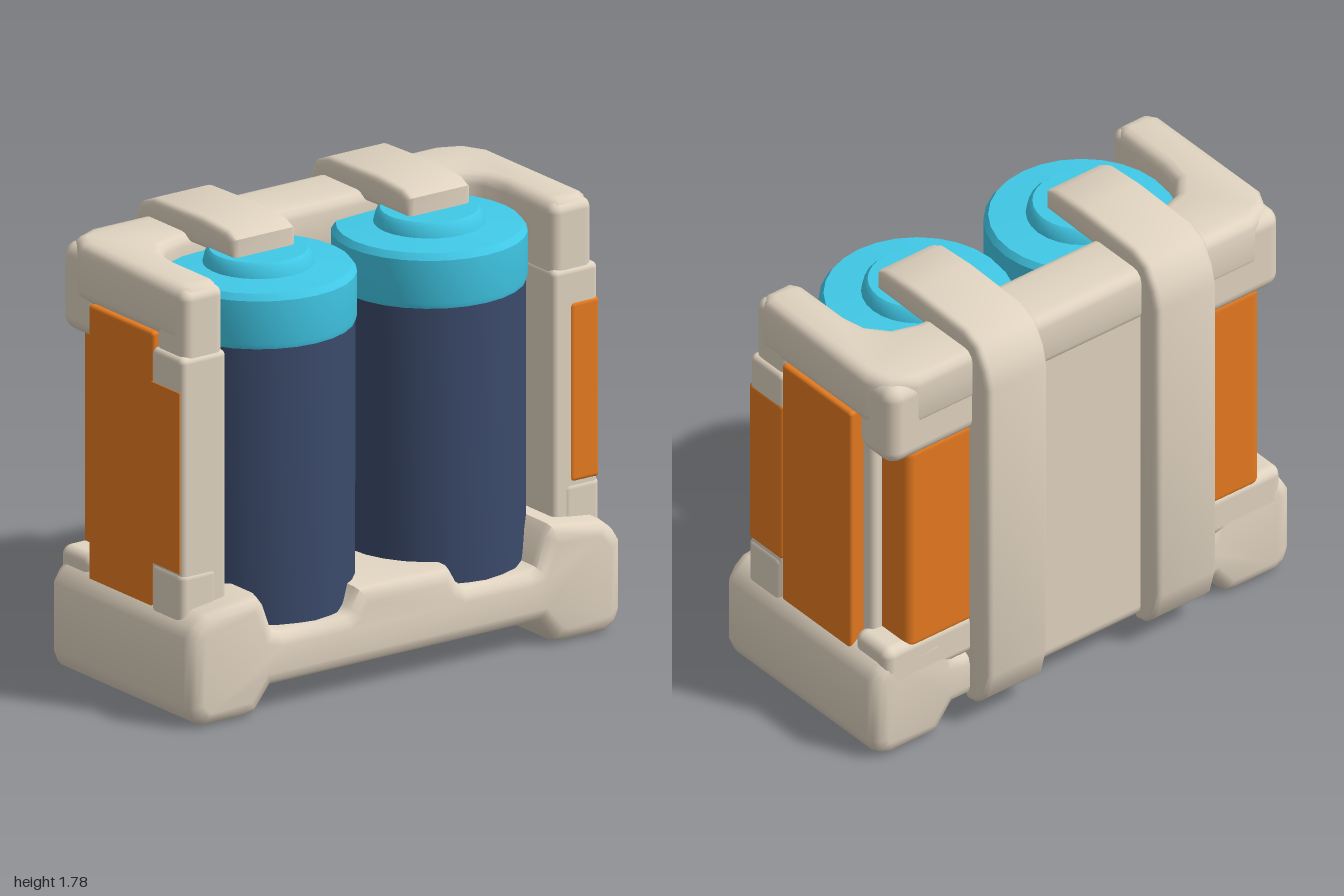
import * as THREE from 'three';
import { toCreasedNormals } from 'three/addons/utils/BufferGeometryUtils.js';
import { RoundedBoxGeometry } from 'three/addons/geometries/RoundedBoxGeometry.js';

const material = (name, color) => {
  const m = new THREE.MeshStandardMaterial({ color });
  m.name = name;
  return m;
};

export function createModel() {
  const model = new THREE.Group();
  model.name = 'twinTankPack';
  const beige = material('beige', 0xe0d3c0);
  const orange = material('orange', 0xe57a20);
  const cyan = material('cyan', 0x42cdec);
  const navy = material('navy', 0x3b4a6b);

  const add = (name, geometry, mat) => {
    const mesh = new THREE.Mesh(geometry, mat);
    mesh.name = name;
    model.add(mesh);
    return mesh;
  };

  // Rounded block given by its limits on each axis
  const block = (name, mat, x0, x1, y0, y1, z0, z1, r = 0.03) => {
    const mesh = add(name, new RoundedBoxGeometry(Math.abs(x1 - x0), y1 - y0, z1 - z0, 3, r), mat);
    mesh.position.set((x0 + x1) / 2, (y0 + y1) / 2, (z0 + z1) / 2);
    return mesh;
  };

  // Bevelled extrusion of an outline, centred on its depth
  const slab = (points, depth, bevel) => {
    const shape = new THREE.Shape(points.map(([x, y]) => new THREE.Vector2(x, y)));
    const g = new THREE.ExtrudeGeometry(shape, {
      depth: depth - 2 * bevel, bevelThickness: bevel, bevelSize: bevel,
      bevelOffset: -bevel, bevelSegments: 3,
    });
    g.translate(0, 0, bevel - depth / 2);
    return g;
  };
  const crease = (g) => toCreasedNormals(g, 0.8);
  const mirrored = (half) => [...half, ...half.map(([x, y]) => [-x, y]).reverse()];

  // Base tray with feet and scooped upper edge
  const baseHalf = [
    [0.62, 0.1], [0.69, 0.01], [0.74, 0], [0.93, 0], [0.98, 0.03], [1, 0.08],
    [1, 0.35], [0.97, 0.4], [0.92, 0.44], [0.68, 0.47], [0.65, 0.43],
    [0.61, 0.32], [0.57, 0.31], [0.28, 0.31], [0.25, 0.33], [0.21, 0.4],
  ];
  const base = add('base', crease(slab(mirrored(baseHalf), 0.91, 0.055)), beige);
  base.position.z = 0.055;

  // U-shaped top frame, outline in x and z
  const frameHalf = [
    [0.58, -0.12], [0.68, -0.09], [0.74, -0.02], [0.76, 0.08], [0.76, 0.33],
    [0.79, 0.38], [0.91, 0.38], [0.95, 0.33], [0.95, -0.27], [0.9, -0.37],
    [0.8, -0.415],
  ];
  const frameGeo = slab(mirrored(frameHalf), 0.23, 0.045);
  frameGeo.rotateX(Math.PI / 2);
  const frame = add('topFrame', crease(frameGeo), beige);
  frame.position.y = 1.585;

  // Back panel behind the tanks, flush with the frame
  block('backPanel', beige, -0.56, 0.56, 0.1, 1.69, -0.41, -0.2, 0.06);

  // Strap outline in z and y
  const strapOutline = [
    [0.16, 1.67], [0.16, 1.75], [0.11, 1.775], [-0.05, 1.785], [-0.36, 1.775],
    [-0.44, 1.74], [-0.49, 1.65], [-0.51, 1.57], [-0.51, 0.25], [-0.48, 0.14],
    [-0.43, 0.09], [-0.38, 0.08], [-0.34, 0.12], [-0.34, 1.6], [-0.28, 1.66],
  ];
  const strapGeo = slab(strapOutline, 0.29, 0.025);
  strapGeo.rotateY(-Math.PI / 2);
  const strapCreased = crease(strapGeo);

  // Tank profiles as radius and height
  const lathe = (points) => toCreasedNormals(
    new THREE.LatheGeometry(points.map(([r, y]) => new THREE.Vector2(r, y)), 28), 0.6);
  const bodyGeo = lathe([[0, 0.15], [0.36, 0.15], [0.362, 1.41], [0, 1.41]]);
  const capGeo = lathe([
    [0.363, 1.4], [0.368, 1.42], [0.368, 1.59], [0.35, 1.615], [0.21, 1.625],
    [0.2, 1.665], [0.185, 1.68], [0, 1.68],
  ]);

  for (const s of [-1, 1]) {
    const side = s > 0 ? 'left' : 'right';
    const part = (name, mat, x0, x1, ...rest) =>
      block(side + name, mat, s * x0, s * x1, ...rest);

    add(side + 'Strap', strapCreased, beige).position.x = s * 0.405;
    add(side + 'TankBody', bodyGeo, navy).position.set(s * 0.395, 0, 0.105);
    add(side + 'TankCap', capGeo, cyan).position.set(s * 0.395, 0, 0.105);

    // Side wall: core, front post, corner blocks
    part('SideCore', beige, 0.76, 0.9, 0.3, 1.55, -0.25, 0.25);
    part('FrontPost', beige, 0.755, 0.965, 0.35, 1.43, 0.2, 0.398, 0.025);
    part('UpperPost', beige, 0.76, 0.947, 1.36, 1.685, 0.2, 0.39, 0.04);
    part('LowerCollar', beige, 0.8, 0.971, 0.35, 0.585, 0.205, 0.402);
    part('BackUpperCorner', beige, 0.48, 0.94, 1.33, 1.68, -0.412, -0.2, 0.06);
    part('BackLowerCorner', beige, 0.5, 0.95, 0.3, 0.485, -0.4, -0.2, 0.04);

    // Orange panels
    part('SidePanel', orange, 0.85, 0.962, 0.38, 1.485, -0.2, 0.21, 0.015);
    part('BackCornerPanel', orange, 0.5, 0.85, 0.44, 1.37, -0.398, -0.205, 0.04);
    part('BottomPanel', orange, 0.16, 0.66, 0.097, 0.103, -0.15, 0.29, 0.002);
    if (s > 0) part('PostPanel', orange, 0.83, 0.968, 0.58, 1.295, 0.2, 0.403, 0.02);
    else part('PostPanel', orange, 0.961, 0.968, 0.58, 1.295, 0.205, 0.385, 0.003);
  }
  return model;
}
